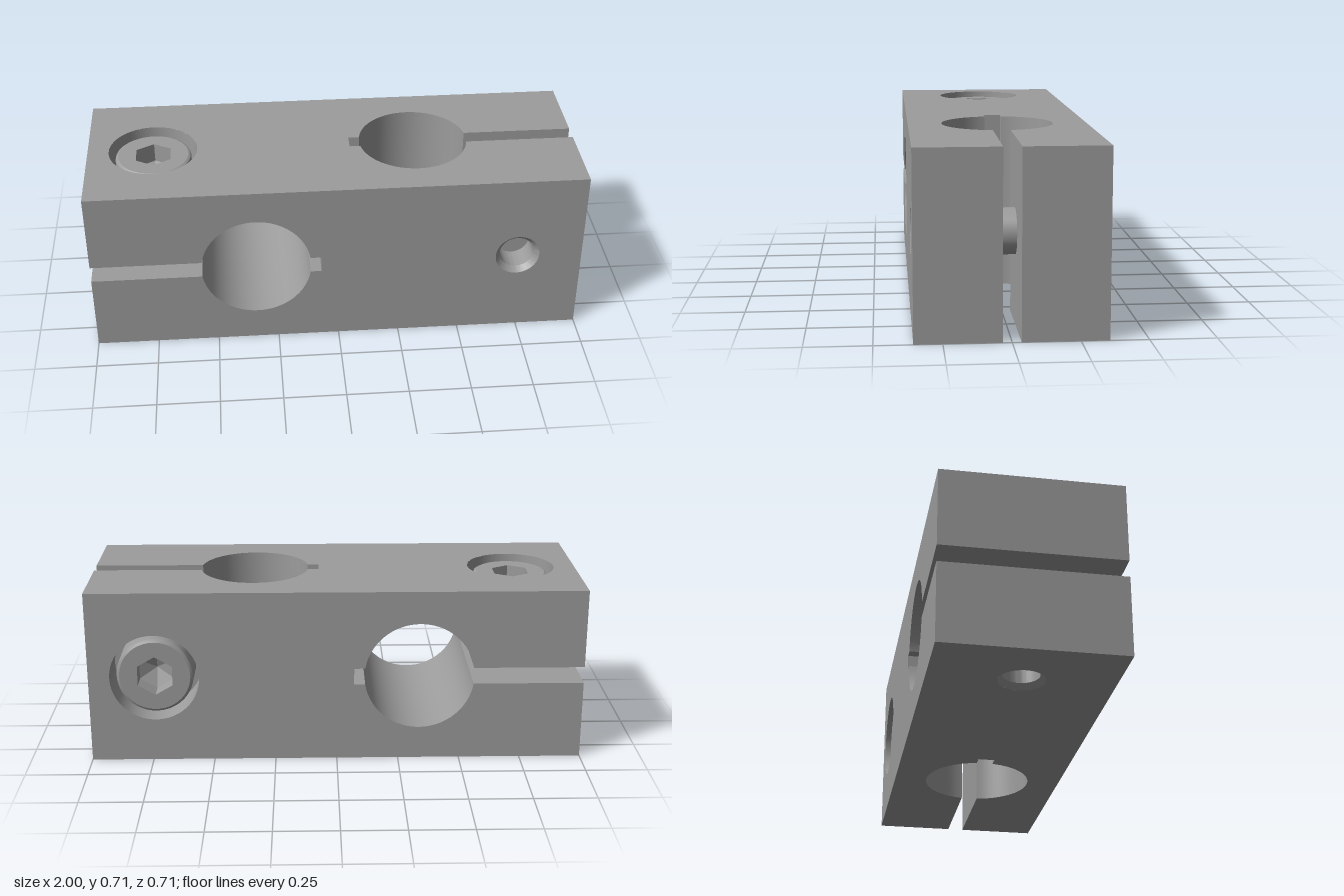
import * as THREE from 'three';
import { mergeGeometries, toCreasedNormals } from 'three/addons/utils/BufferGeometryUtils.js';

const H = 0.356;        // half height and half depth of the block
const SLOT = 0.034;     // half width of the clamping slot
const BORE_X = -0.334, BORE_R = 0.222, NOTCH_X = -0.07;
const SCREW_X = -0.734;
const HEAD_TOP = H - 0.022, HEAD_BASE = H - 0.18;
const SEGMENTS = 64;

const v2 = (x, y) => new THREE.Vector2(x, y);

// Joins surface pieces, keeping hard edges sharp and round walls smooth
function join(pieces) {
  const clean = pieces.map((g) => {
    const n = g.index ? g.toNonIndexed() : g;
    n.deleteAttribute('uv');
    n.deleteAttribute('normal');
    n.computeVertexNormals();
    return n;
  });
  return toCreasedNormals(mergeGeometries(clean), 0.3);
}

// Revolved surface; a profile running downwards faces inwards
const lathe = (points, sides = SEGMENTS) =>
  new THREE.LatheGeometry(points.map(([r, y]) => v2(r, y)), sides);

// Slot, bore and relief notch as one open path
function clampPath() {
  const a = Math.asin(SLOT / BORE_R);
  const arc = (from, to) => Array.from({ length: 33 }, (_, i) => {
    const t = from + (to - from) * i / 32;
    return v2(BORE_X + BORE_R * Math.cos(t), BORE_R * Math.sin(t));
  });
  return [
    v2(-1, -SLOT), ...arc(Math.PI + a, 2 * Math.PI - a), v2(NOTCH_X, -SLOT),
    v2(NOTCH_X, SLOT), ...arc(a, Math.PI - a), v2(-1, SLOT),
  ];
}

// Sweeps an open path through the depth of the block
function wall(path) {
  const pos = [];
  for (let i = 0; i < path.length - 1; i++) {
    const p = path[i], q = path[i + 1];
    const a = [p.x, p.y, -H], b = [p.x, p.y, H], c = [q.x, q.y, H], d = [q.x, q.y, -H];
    pos.push(...a, ...b, ...c, ...a, ...c, ...d);
  }
  return new THREE.BufferGeometry().setAttribute('position', new THREE.Float32BufferAttribute(pos, 3));
}

// Flat face of the half block with a round opening for the screw
function drilledFace(radius) {
  const s = new THREE.Shape([v2(-1, -H), v2(0, -H), v2(0, H), v2(-1, H)]);
  s.holes.push(new THREE.Path().absarc(SCREW_X, 0, radius, 0, Math.PI * 2, true));
  return new THREE.ShapeGeometry(s, SEGMENTS);
}

function halfBlockGeometry() {
  const path = clampPath();
  const outline = new THREE.Shape([v2(-1, -H), v2(0, -H), v2(0, H), v2(-1, H), ...[...path].reverse()]);
  const face = () => new THREE.ShapeGeometry(outline).translate(0, 0, H);
  const jawEnd = (side) => new THREE.PlaneGeometry(2 * H, H - SLOT)
    .rotateY(-Math.PI / 2).translate(-1, side * (H + SLOT) / 2, 0);
  return join([
    face(), face().rotateX(Math.PI), wall(path), jawEnd(1), jawEnd(-1),
    drilledFace(0.18).rotateX(-Math.PI / 2).translate(0, H, 0),
    drilledFace(0.09).rotateX(Math.PI / 2).translate(0, -H, 0),
    // counterbore for the head
    lathe([[0.18, H], [0.18, HEAD_BASE], [0.08, HEAD_BASE]]).translate(SCREW_X, 0, 0),
    // tapped hole with chamfered mouth
    lathe([[0.07, -H + 0.12], [0.07, -H + 0.022], [0.09, -H]]).translate(SCREW_X, 0, 0),
  ]);
}

function screwHeadGeometry() {
  const top = new THREE.Shape().absarc(0, 0, 0.143, 0, Math.PI * 2);
  top.holes.push(new THREE.Path(Array.from({ length: 6 }, (_, i) =>
    v2(0.081 * Math.sin(i * Math.PI / 3), 0.081 * Math.cos(i * Math.PI / 3)))));
  return join([
    lathe([[0.155, HEAD_BASE], [0.155, HEAD_TOP - 0.014], [0.152, HEAD_TOP - 0.005], [0.143, HEAD_TOP]]),
    new THREE.ShapeGeometry(top, SEGMENTS).rotateX(-Math.PI / 2).translate(0, HEAD_TOP, 0),
    // hexagonal socket with a conical floor
    lathe([[0.081, HEAD_TOP], [0.081, HEAD_TOP - 0.08], [0, HEAD_TOP - 0.11]], 6),
  ]);
}

export function createModel() {
  const metal = new THREE.MeshStandardMaterial({ color: 0x9c9c9c });
  metal.name = 'greyMetal';
  const add = (parent, name, geometry) => {
    const mesh = new THREE.Mesh(geometry, metal);
    mesh.name = name;
    parent.add(mesh);
    return mesh;
  };

  // One clamp half with its screw
  const half = new THREE.Group();
  half.name = 'rightClamp';
  add(half, 'clampBlock', halfBlockGeometry());
  const screw = new THREE.Group();
  screw.name = 'clampScrew';
  screw.position.x = SCREW_X;
  half.add(screw);
  add(screw, 'screwHead', screwHeadGeometry());
  const tip = -H + 0.12;
  add(screw, 'screwShank', new THREE.CylinderGeometry(0.088, 0.088, HEAD_BASE - tip, SEGMENTS)
    .translate(0, (HEAD_BASE + tip) / 2, 0));

  // The other half is the same part turned so its bore runs vertically
  const other = half.clone();
  other.name = 'leftClamp';
  other.quaternion.setFromAxisAngle(new THREE.Vector3(0, 1, -1).normalize(), Math.PI);

  const model = new THREE.Group();
  model.name = 'crossClamp';
  for (const part of [half, other]) {
    part.position.y = H;
    model.add(part);
  }
  return model;
}
